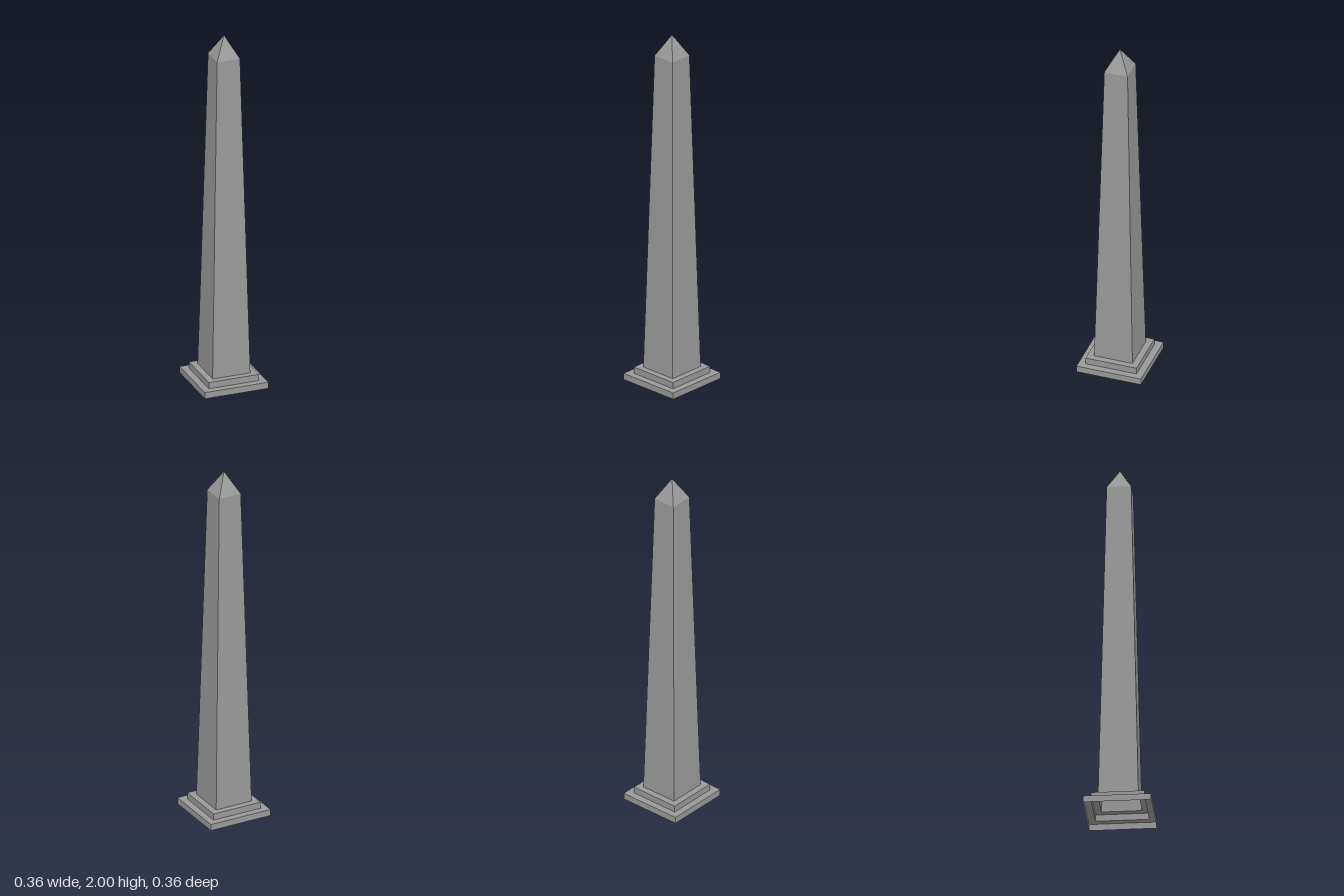
import * as THREE from 'three';

const material = new THREE.MeshStandardMaterial({
  color: 0x999999, flatShading: true, side: THREE.DoubleSide,
});

// Square open shell from [half width, height] pairs, listed bottom to top
function squareShell(name, profile) {
  const points = profile.map(([half, y]) => new THREE.Vector2(half * Math.SQRT2, y));
  const mesh = new THREE.Mesh(new THREE.LatheGeometry(points, 4, Math.PI / 4), material);
  mesh.name = name;
  return mesh;
}

export function createModel() {
  const group = new THREE.Group();
  group.name = 'obelisk';

  // Hollow stepped base, open underneath: each step is a wall and a ledge
  group.add(squareShell('lowerStep', [[0.18, 0], [0.18, 0.036], [0.142, 0.036]]));
  group.add(squareShell('upperStep', [[0.142, 0.036], [0.142, 0.072], [0.107, 0.072]]));

  // Tapered shaft and pointed cap
  group.add(squareShell('shaft', [[0.107, 0.072], [0.065, 1.88]]));
  group.add(squareShell('cap', [[0.065, 1.88], [0, 2]]));

  return group;
}
